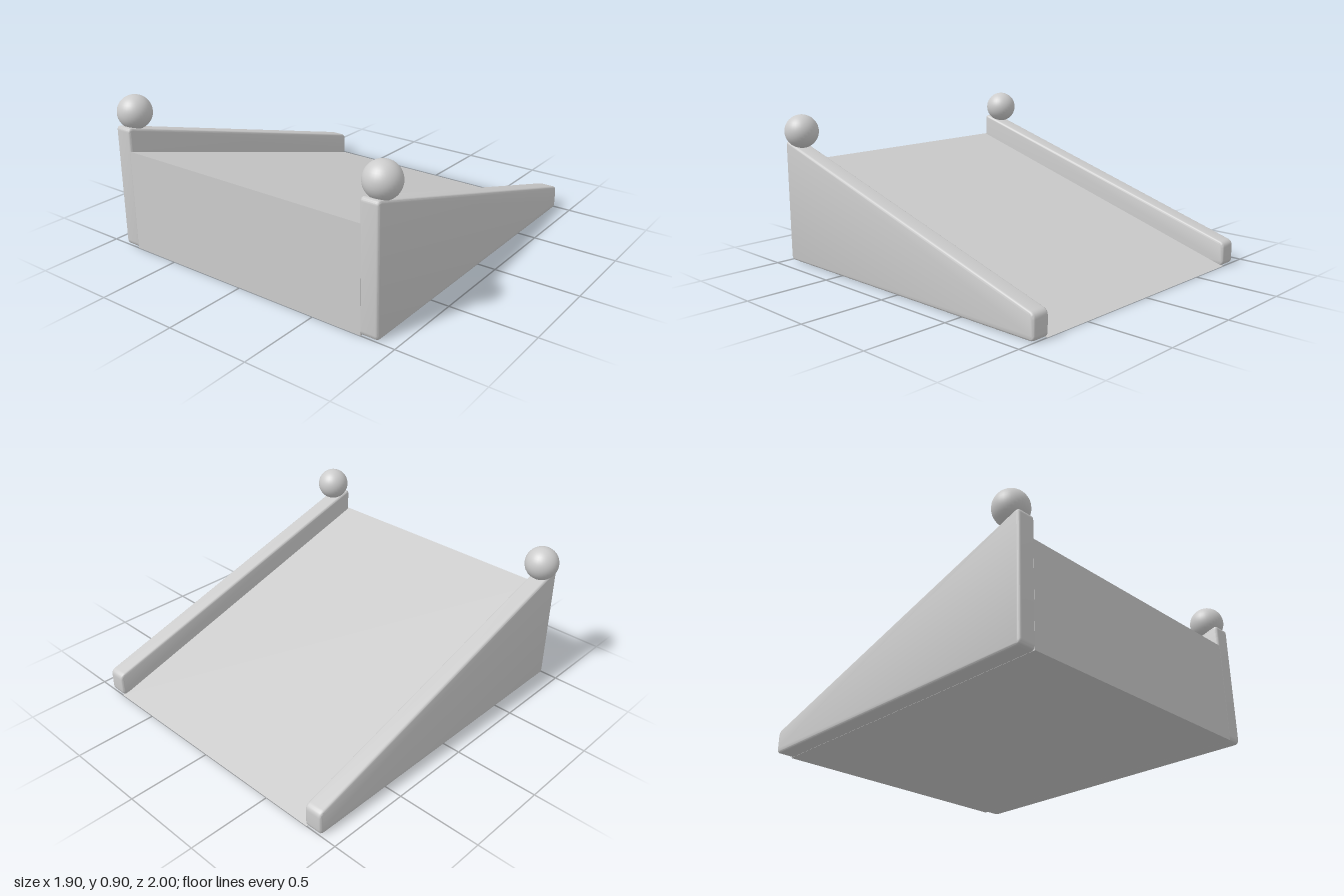
import * as THREE from 'three';
import { toCreasedNormals } from 'three/addons/utils/BufferGeometryUtils.js';

// Outline from [z, y] corners, each corner softened by the given distance.
function profile(corners, soft) {
  const pts = corners.map(([z, y]) => new THREE.Vector2(z, y));
  const shape = new THREE.Shape();
  pts.forEach((p, i) => {
    const toward = (q) => p.clone().add(q.clone().sub(p).setLength(soft));
    const a = toward(pts[(i + pts.length - 1) % pts.length]);
    const b = toward(pts[(i + 1) % pts.length]);
    if (i === 0) shape.moveTo(a.x, a.y);
    else shape.lineTo(a.x, a.y);
    if (soft > 0) shape.quadraticCurveTo(p.x, p.y, b.x, b.y);
  });
  shape.closePath();
  return shape;
}

// Side profile extruded across x, centred on x = 0.
function extrudeAcross(shape, width, bevel) {
  const geometry = new THREE.ExtrudeGeometry(shape, {
    depth: width - 2 * bevel,
    curveSegments: 5,
    bevelEnabled: bevel > 0,
    bevelSize: bevel,
    bevelThickness: bevel,
    bevelOffset: -bevel,
    bevelSegments: 4,
  });
  geometry.translate(0, 0, bevel - width / 2);
  geometry.rotateY(-Math.PI / 2);
  return toCreasedNormals(geometry, 0.6);
}

export function createModel() {
  const group = new THREE.Group();
  const stone = new THREE.MeshStandardMaterial({ color: 0xcccccc });
  stone.name = 'paleGrey';

  const add = (name, geometry, x = 0, y = 0, z = 0) => {
    const mesh = new THREE.Mesh(geometry, stone);
    mesh.name = name;
    mesh.position.set(x, y, z);
    group.add(mesh);
  };

  // Sloping wedge, high at the front and running out at the back
  add('ramp', extrudeAcross(profile([[-1, 0], [1, 0], [1, 0.6]], 0), 1.6, 0));

  // Side walls with softened edges, each topped by a ball at the high end
  const wall = extrudeAcross(
    profile([[-1, 0], [1, 0], [1, 0.74], [-1, 0.14]], 0.03), 0.11, 0.015);
  const ball = new THREE.SphereGeometry(0.1, 32, 20);
  for (const [side, s] of [['left', 1], ['right', -1]]) {
    add(`${side}Wall`, wall, s * 0.845);
    add(`${side}Ball`, ball, s * 0.85, 0.8, 0.9);
  }
  return group;
}
